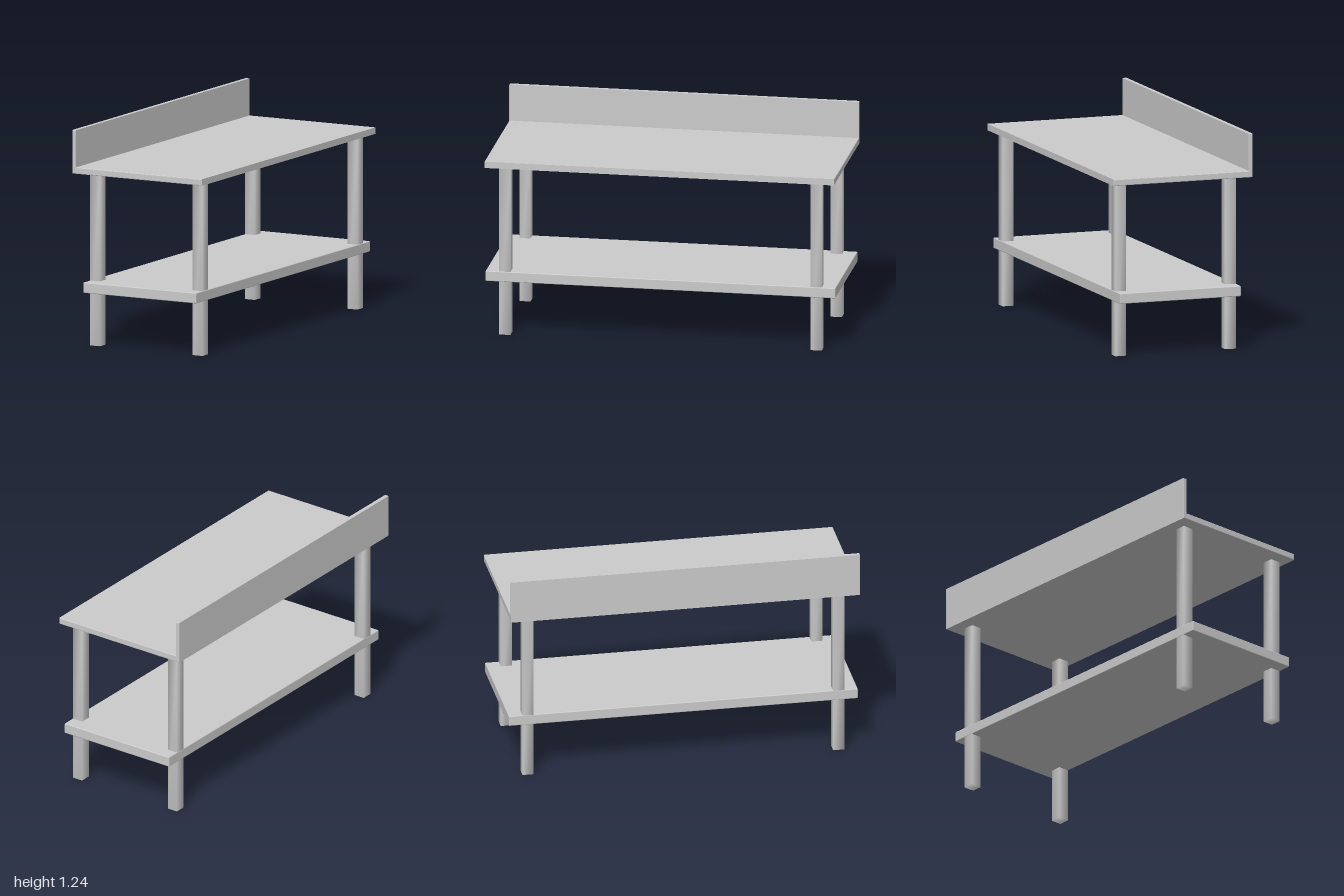
import * as THREE from 'three';
import { mergeVertices } from 'three/addons/utils/BufferGeometryUtils.js';
import { RoundedBoxGeometry } from 'three/addons/geometries/RoundedBoxGeometry.js';

const material = new THREE.MeshStandardMaterial({ color: 0xcccccc });

function part(name, geometry, x = 0, y = 0, z = 0) {
  const mesh = new THREE.Mesh(geometry, material);
  mesh.name = name;
  mesh.position.set(x, y, z);
  return mesh;
}

// Square bar whose corners share normals, for soft shading across the edges
function softBar(w, h, d) {
  const box = new THREE.BoxGeometry(w, h, d);
  box.deleteAttribute('normal');
  box.deleteAttribute('uv');
  const geometry = mergeVertices(box);
  geometry.computeVertexNormals();
  return geometry;
}

export function createModel() {
  const model = new THREE.Group();
  model.name = 'workTable';

  // Worktop and upstand: one L-shaped section run along z
  const section = new THREE.Shape([
    [-0.42, 0.987], [0.418, 0.987], [0.418, 1.024],
    [-0.396, 1.024], [-0.396, 1.236], [-0.42, 1.236],
  ].map(([x, y]) => new THREE.Vector2(x, y)));
  const bevel = 0.004;
  const top = new THREE.ExtrudeGeometry(section, {
    depth: 2 - 2 * bevel, bevelSize: bevel, bevelThickness: bevel,
    bevelOffset: -bevel, bevelSegments: 2,
  });
  top.translate(0, 0, -1 + bevel);
  model.add(part('worktopWithUpstand', top));

  // Lower shelf
  model.add(part('lowerShelf', new RoundedBoxGeometry(0.73, 0.06, 2, 2, 0.005), 0.016, 0.341, 0));

  // Four legs, passing through the shelf
  const legHeight = 0.99;
  const legGeometry = softBar(0.064, legHeight, 0.064);
  for (const [side, x] of [['right', -0.316], ['left', 0.346]]) {
    for (const [end, z] of [['Front', 0.89], ['Back', -0.89]]) {
      model.add(part(`${side}${end}Leg`, legGeometry, x, legHeight / 2, z));
    }
  }
  return model;
}
